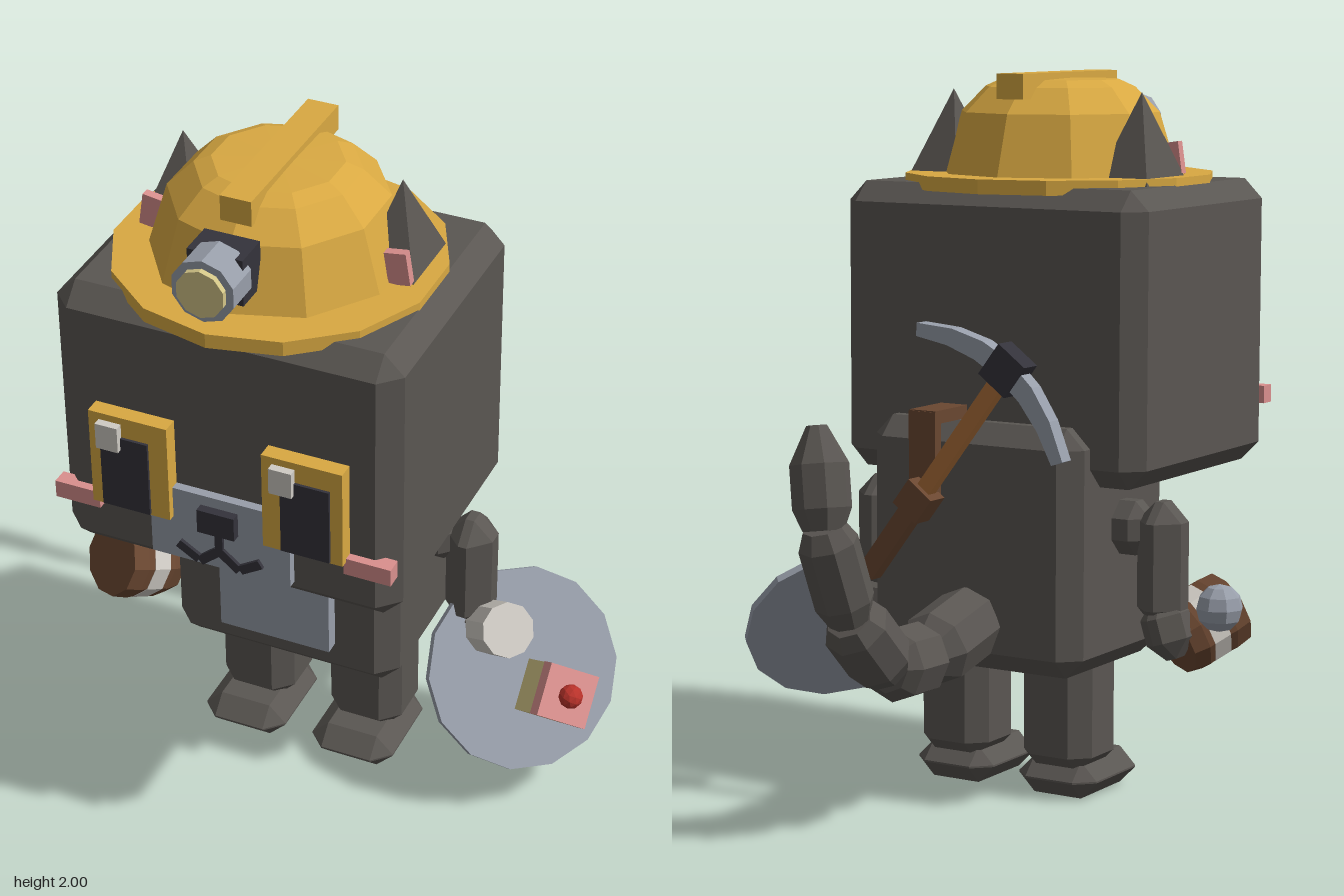
import * as THREE from 'three';
import { ConvexGeometry } from 'three/addons/geometries/ConvexGeometry.js';

const mat = (name, color) => Object.assign(new THREE.MeshStandardMaterial({ color, flatShading: true }), { name });
const M = {
  fur: mat('charcoal', 0x5a5652),
  gold: mat('gold', 0xd9a942),
  grey: mat('steel grey', 0x989eaa),
  pink: mat('pink', 0xda908e),
  dark: mat('near black', 0x34333b),
  white: mat('off white', 0xcfcbc4),
  cream: mat('cream', 0xd4c688),
  red: mat('red', 0xb8322a),
  brown: mat('dark brown', 0x6a4731),
  wood: mat('wood', 0xb0713a),
};
const CX = -0.085; // mid-plane of the figure
const V = (x, y, z) => new THREE.Vector3(x, y, z);
const UP = V(0, 1, 0);

function add(parent, name, geo, m, x = 0, y = 0, z = 0) {
  const mesh = new THREE.Mesh(geo, m);
  mesh.name = name;
  mesh.position.set(x, y, z);
  parent.add(mesh);
  return mesh;
}
const box = (p, name, m, w, h, d, x, y, z) => add(p, name, new THREE.BoxGeometry(w, h, d), m, x, y, z);
const cyl = (r, h, n) => new THREE.CylinderGeometry(r, r, h, n);

// Box with every edge cut at 45 degrees
function chamfer(w, h, d, c) {
  const pts = [];
  for (const sx of [-1, 1]) for (const sy of [-1, 1]) for (const sz of [-1, 1]) {
    const x = w / 2, y = h / 2, z = d / 2;
    pts.push(V(sx * x, sy * (y - c), sz * (z - c)), V(sx * (x - c), sy * y, sz * (z - c)), V(sx * (x - c), sy * (y - c), sz * z));
  }
  return new ConvexGeometry(pts);
}
const cbox = (p, name, w, h, d, c, x, y, z) => add(p, name, chamfer(w, h, d, c), M.fur, x, y, z);

// Solid of revolution from [radius, height] pairs
const lathe = (pts, n) => new THREE.LatheGeometry(pts.map(p => new THREE.Vector2(...p)), n);

function buildFace(g) {
  box(g, 'muzzle', M.grey, 0.395, 0.22, 0.04, CX, 1.075, 0.745);
  box(g, 'nose', M.dark, 0.105, 0.07, 0.05, CX, 1.12, 0.765);
  box(g, 'mouthStem', M.dark, 0.022, 0.08, 0.03, CX, 1.055, 0.76);
  for (const s of [-1, 1]) {
    box(g, 'eyeFrame', M.gold, 0.222, 0.285, 0.05, CX + s * 0.243, 1.237, 0.76);
    box(g, 'pupil', M.dark, 0.135, 0.22, 0.012, CX + s * 0.253, 1.21, 0.787);
    box(g, 'eyeGlint', M.white, 0.063, 0.075, 0.025, CX + s * 0.243 - 0.05, 1.322, 0.795);
    box(g, 'cheek', M.pink, 0.13, 0.05, 0.045, CX + s * 0.412, 1.08, 0.742);
    box(g, 'mouthInner', M.dark, 0.068, 0.026, 0.03, CX + s * 0.03, 1.0, 0.76).rotation.z = -s * 0.7;
    box(g, 'mouthOuter', M.dark, 0.068, 0.026, 0.03, CX + s * 0.088, 1.0, 0.76).rotation.z = s * 0.55;
    // Ear: four-sided cone leaning towards the crown
    const ear = new THREE.ConeGeometry(Math.SQRT1_2, 1, 4, 1).rotateY(Math.PI / 4);
    add(g, 'ear', ear, M.fur, CX + s * 0.305, 1.82, 0.295).scale.set(0.17, 0.26, 0.24);
    box(g, 'innerEar', M.pink, 0.06, 0.09, 0.025, CX + s * 0.342, 1.765, 0.405).rotation.z = s * 0.15;
  }
}

function buildHat(g) {
  const hat = new THREE.Group();
  hat.name = 'helmet';
  hat.position.set(CX, 0, 0.372);
  add(hat, 'brim', cyl(0.437, 0.04, 14), M.gold, 0, 1.7, 0);
  add(hat, 'dome', lathe([[0.34, 1.71], [0.285, 1.89], [0.215, 1.96], [0.17, 1.98], [0, 1.985]], 10), M.gold);
  box(hat, 'ridge', M.gold, 0.085, 0.07, 0.52, 0, 1.965, -0.012);
  // Lamp on the front
  const disc = (name, r, h, m, z) => add(hat, name, cyl(r, h, 10).rotateX(Math.PI / 2), m, 0, 1.845, z);
  box(hat, 'lampMount', M.dark, 0.15, 0.13, 0.1, 0, 1.845, 0.32);
  disc('lampBody', 0.087, 0.1, M.grey, 0.39);
  disc('lampLens', 0.066, 0.02, M.cream, 0.446);
  g.add(hat);
}

function buildTail(g) {
  const path = [V(CX, 0.52, -0.06), V(CX, 0.455, -0.33), V(CX, 0.46, -0.52), V(-0.08, 0.62, -0.68), V(-0.06, 0.87, -0.765), V(-0.02, 1.125, -0.735)];
  const radii = [0.105, 0.1, 0.092, 0.08, 0.078];
  radii.forEach((r, i) => {
    const a = path[i], d = path[i + 1].clone().sub(a), L = d.length(), last = i === 4;
    const prof = [[0, -0.01], [r * 0.7, -0.01], [r, L * 0.18], [r, L * (last ? 0.62 : 0.82)], [r * (last ? 0.35 : 0.7), L], [0, L]];
    const seg = add(g, 'tailSegment', lathe(prof, 8), M.fur);
    seg.position.copy(a);
    seg.quaternion.setFromUnitVectors(UP, d.normalize());
  });
}

function buildPlate(g) {
  const plate = new THREE.Group();
  plate.name = 'plateOfSweets';
  plate.position.set(0.54, 0.385, 0.175);
  plate.quaternion.setFromUnitVectors(UP, V(0.62, 0.54, 0.57).normalize());
  add(plate, 'plate', cyl(0.283, 0.025, 14), M.grey);
  // Turn a figure-space offset into plate-space
  const inv = plate.quaternion.clone().invert();
  const local = (x, y, z) => V(x, y, z).applyQuaternion(inv);
  const m = local(-0.05, 0.16, 0.05), c = local(0.155, 0.015, 0.08);
  add(plate, 'marshmallow', cyl(0.077, 0.13, 10), M.white, m.x, 0.077, m.z);
  const cake = new THREE.Group();
  cake.name = 'cake';
  cake.position.set(c.x, 0, c.z);
  cake.rotation.y = 0.29;
  box(cake, 'sponge', M.cream, 0.145, 0.12, 0.145, 0, 0.07, 0);
  box(cake, 'icing', M.pink, 0.148, 0.05, 0.148, 0, 0.15, 0);
  add(cake, 'cherry', new THREE.IcosahedronGeometry(0.034, 1), M.red, 0, 0.192, 0);
  plate.add(cake);
  g.add(plate);
}

function buildBarrel(g) {
  const barrel = new THREE.Group();
  barrel.name = 'mug';
  barrel.position.set(-0.595, 0.49, 0.275);
  barrel.quaternion.setFromUnitVectors(UP, V(-0.45, 0.4, 0.8).normalize());
  add(barrel, 'mugFront', lathe([[0.11, 0.025], [0.113, 0.05], [0.108, 0.1], [0, 0.1]], 10), M.brown);
  add(barrel, 'mugBand', cyl(0.112, 0.055, 10), M.white);
  add(barrel, 'mugBack', lathe([[0, -0.09], [0.1, -0.09], [0.112, -0.045], [0.11, -0.02]], 10), M.brown);
  g.add(barrel);
  add(g, 'mugKnob', new THREE.SphereGeometry(0.066, 8, 6), M.grey, -0.715, 0.57, 0.165);
  const neck = add(g, 'mugNeck', cyl(0.035, 0.1, 8), M.grey, -0.67, 0.54, 0.205);
  neck.quaternion.setFromUnitVectors(UP, V(-0.12, 0.08, -0.105).normalize());
}

function buildPickaxe(g) {
  const pick = new THREE.Group();
  pick.name = 'pickaxe';
  pick.position.set(-0.27, 1.23, -0.21);
  pick.rotation.z = 0.645;
  box(pick, 'handle', M.wood, 0.045, 0.48, 0.035, 0, -0.22, 0);
  box(pick, 'grip', M.brown, 0.055, 0.3, 0.046, 0, -0.59, 0);
  box(pick, 'clip', M.brown, 0.09, 0.085, 0.07, 0, -0.47, 0);
  box(pick, 'collar', M.dark, 0.1, 0.105, 0.066, 0, 0, 0);
  // Curved head, tapering to both tips
  const s = new THREE.Shape();
  s.moveTo(-0.285, -0.075);
  s.quadraticCurveTo(0, 0.14, 0.285, -0.075);
  s.lineTo(0.265, -0.105);
  s.quadraticCurveTo(0, 0.05, -0.265, -0.105);
  add(pick, 'pickHead', new THREE.ExtrudeGeometry(s, { depth: 0.046, bevelEnabled: false, curveSegments: 6 }), M.grey, 0, 0, -0.023);
  g.add(pick);
  // Bracket from the back to the handle
  box(g, 'bracketArm', M.brown, 0.085, 0.036, 0.18, 0.013, 1.08, -0.1);
  box(g, 'bracketDrop', M.brown, 0.085, 0.24, 0.03, 0.013, 0.975, -0.178);
}

export function createModel() {
  const g = new THREE.Group();
  g.name = 'minerCat';

  cbox(g, 'head', 0.957, 0.805, 0.77, 0.055, CX, 1.297, 0.355);
  cbox(g, 'body', 0.67, 0.685, 0.53, 0.055, CX, 0.717, 0.15);
  box(g, 'bellyPatch', M.grey, 0.327, 0.41, 0.045, CX, 0.705, 0.433);

  // Limbs
  for (const s of [-1, 1]) {
    cbox(g, 'leg', 0.22, 0.36, 0.22, 0.05, CX + s * 0.168, 0.25, 0.15);
    cbox(g, 'foot', 0.25, 0.105, 0.32, 0.05, CX + s * 0.168, 0.0525, 0.2);
    cbox(g, 'shoulder', 0.14, 0.15, 0.13, 0.045, CX + s * 0.36, 0.77, 0.155);
    cbox(g, 'arm', 0.135, 0.35, 0.155, 0.055, CX + s * 0.46, 0.675, 0.155);
    const hand = cbox(g, 'hand', 0.13, 0.17, 0.15, 0.05, CX + s * 0.48, 0.5, 0.15);
    hand.rotation.z = s * 0.3;
  }

  buildFace(g);
  buildHat(g);
  buildTail(g);
  buildPlate(g);
  buildBarrel(g);
  buildPickaxe(g);
  return g;
}
